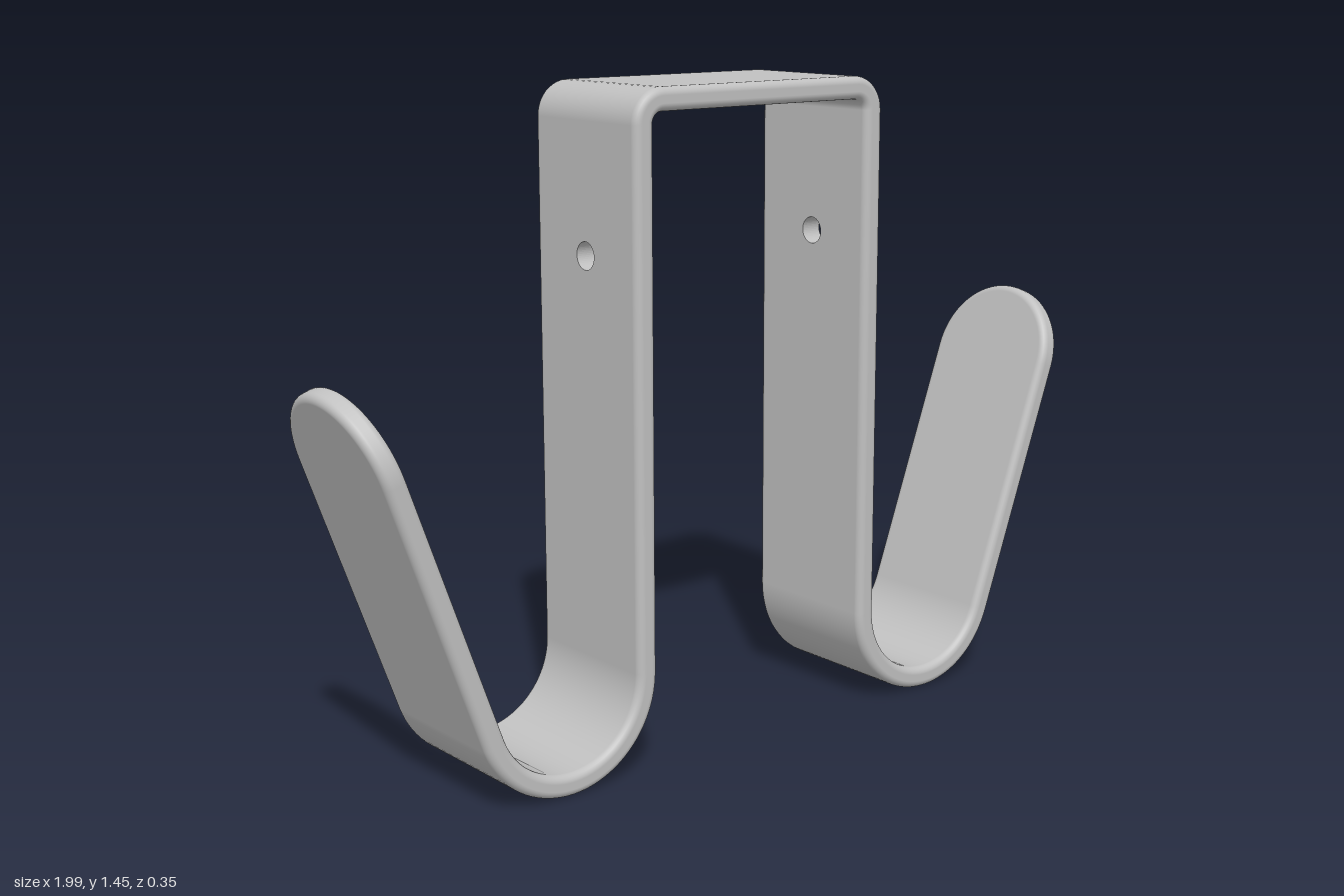
import * as THREE from 'three';

const HALF_W = 0.175;   // half width of the strip
const HALF_T = 0.025;   // half thickness
const EDGE = 0.017;     // rounding of the long edges
const WALL_X = 0.319;   // centre line of the upright
const TOP_Y = 1.43;     // centre line of the top bar
const CORNER_R = 0.05;
const HOOK_R = 0.2;
const HOOK_Y = 0.225;
const HOLE_Y = 1.1;
const HOLE_R = 0.03;
const PANEL = 0.1;      // half height of the drilled panel

// Stations along the centre line of one half: position, tangent, tip angle
function halfPath() {
  const path = [];
  const add = (x, y, tx, ty, a = 0, open = false) => path.push({ x, y, tx, ty, a, open });
  const arc = (cx, cy, r, from, to, n) => {
    const dir = Math.sign(to - from);
    for (let i = 0; i <= n; i++) {
      const t = THREE.MathUtils.degToRad(from + (to - from) * i / n);
      add(cx + r * Math.cos(t), cy + r * Math.sin(t), -Math.sin(t) * dir, Math.cos(t) * dir);
    }
  };
  add(0, TOP_Y, 1, 0);
  arc(WALL_X - CORNER_R, TOP_Y - CORNER_R, CORNER_R, 90, 0, 10);
  add(WALL_X, HOLE_Y + PANEL, 0, -1, 0, true); // flat faces left open for the panel
  add(WALL_X, HOLE_Y - PANEL, 0, -1);
  arc(WALL_X + HOOK_R, HOOK_Y, HOOK_R, 180, 340, 40);
  // Flared arm with a half-round tip
  const end = path[path.length - 1];
  const straight = 0.789 - HALF_W;
  for (let i = 0; i <= 20; i++) {
    add(end.x + end.tx * straight, end.y + end.ty * straight, end.tx, end.ty, i / 20 * Math.PI / 2);
  }
  return path;
}

// Rounded strip cross-section: edge angle, inset from the rim, height, side
function crossSection() {
  const side = [];
  for (const s of [-1, 1]) {
    for (let i = 0; i <= 6; i++) {
      const phi = (s < 0 ? -1 + i / 6 : i / 6) * Math.PI / 2;
      side.push({ phi, inset: EDGE * (1 - Math.cos(phi)), n: s * (HALF_T - EDGE) + EDGE * Math.sin(phi) });
    }
  }
  return [...side.map(p => ({ ...p, z: 1 })), ...side.slice().reverse().map(p => ({ ...p, z: -1 }))];
}

function stripGeometry() {
  const path = halfPath(), ring = crossSection(), m = ring.length;
  const pos = [], nor = [], idx = [];
  path.forEach((s, i) => {
    const sa = Math.sin(s.a), ca = Math.cos(s.a);
    ring.forEach((p, j) => {
      const r = HALF_W - p.inset, c = Math.cos(p.phi), q = Math.sin(p.phi);
      pos.push(s.x + s.tx * r * sa - s.ty * p.n, s.y + s.ty * r * sa + s.tx * p.n, p.z * r * ca);
      nor.push(s.tx * sa * c - s.ty * q, s.ty * sa * c + s.tx * q, p.z * ca * c);
      if (i === path.length - 1) return;
      if (s.open && (j === m / 2 - 1 || j === m - 1)) return;
      const k = (j + 1) % m, a = i * m + j, b = i * m + k;
      idx.push(a, a + m, b, b, a + m, b + m);
    });
  });
  const g = new THREE.BufferGeometry();
  g.setAttribute('position', new THREE.Float32BufferAttribute(pos, 3));
  g.setAttribute('normal', new THREE.Float32BufferAttribute(nor, 3));
  g.setIndex(idx);
  return g;
}

// Flat piece of the upright with the screw hole
function panelGeometry() {
  const w = HALF_W - EDGE;
  const shape = new THREE.Shape([
    new THREE.Vector2(-w, -PANEL), new THREE.Vector2(w, -PANEL),
    new THREE.Vector2(w, PANEL), new THREE.Vector2(-w, PANEL),
  ]);
  shape.holes.push(new THREE.Path().absarc(0, 0, HOLE_R, 0, Math.PI * 2, true));
  const g = new THREE.ExtrudeGeometry(shape, { depth: 2 * HALF_T, bevelEnabled: false, curveSegments: 24 });
  return g.rotateY(Math.PI / 2).translate(WALL_X - HALF_T, HOLE_Y, 0);
}

export function createModel() {
  const metal = new THREE.MeshStandardMaterial({ color: 0xc0c0c0 });
  metal.name = 'brushed metal';
  const strip = stripGeometry(), panel = panelGeometry();

  const model = new THREE.Group();
  model.name = 'doubleDoorHook';
  for (const side of ['left', 'right']) {
    const half = new THREE.Group();
    half.name = side + 'Hook';
    const band = new THREE.Mesh(strip, metal);
    band.name = side + 'Band';
    const plate = new THREE.Mesh(panel, metal);
    plate.name = side + 'ScrewHolePanel';
    half.add(band, plate);
    if (side === 'right') half.rotation.y = Math.PI;
    model.add(half);
  }
  return model;
}
